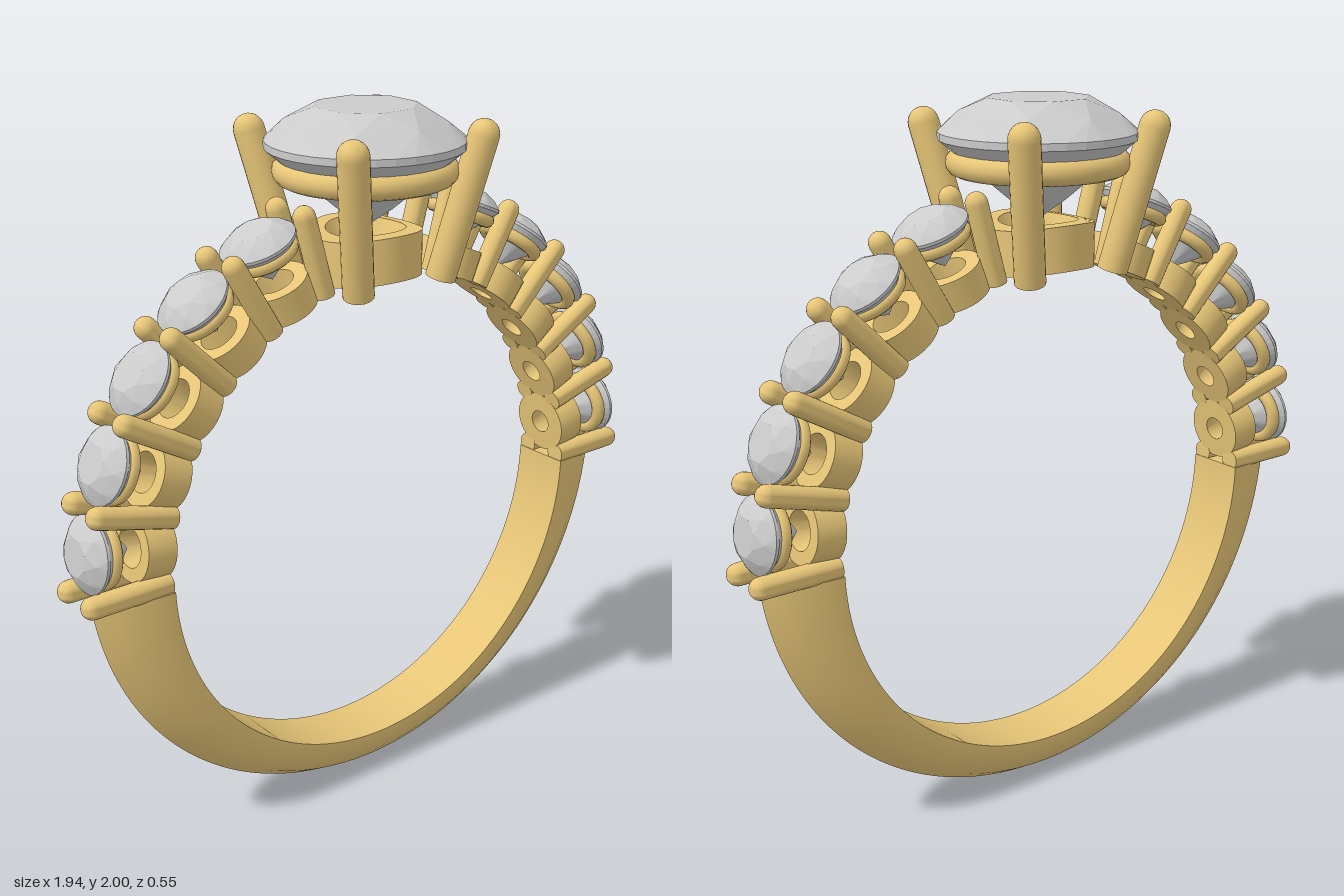
import * as THREE from 'three';
import { toCreasedNormals } from 'three/addons/utils/BufferGeometryUtils.js';
import { ConvexGeometry } from 'three/addons/geometries/ConvexGeometry.js';

const CY = 0.84; // height of the finger hole's centre
const RI = 0.71; // finger hole radius
const gold = new THREE.MeshStandardMaterial({ color: 0xe6c577 });
const gemMat = new THREE.MeshStandardMaterial({ color: 0xcccccc, flatShading: true });
const UP = new THREE.Vector3(0, 1, 0);

function add(parent, name, geometry, material = gold) {
  const mesh = new THREE.Mesh(geometry, material);
  mesh.name = name;
  parent.add(mesh);
  return mesh;
}

const lathe = (pts, seg) =>
  toCreasedNormals(new THREE.LatheGeometry(pts.map(([x, y]) => new THREE.Vector2(x, y)), seg), 0.7);

// Round bar with a flat foot and a domed tip, running from a to b
function prong(parent, name, a, b, r) {
  const h = a.distanceTo(b);
  const pts = [[0, 0], [r, 0]];
  for (let i = 0; i <= 6; i++) {
    const t = (i / 6) * Math.PI / 2;
    pts.push([r * Math.cos(t), h - r + r * Math.sin(t)]);
  }
  const mesh = add(parent, name, lathe(pts, 20));
  mesh.position.copy(a);
  mesh.quaternion.setFromUnitVectors(UP, b.clone().sub(a).normalize());
}

// Round brilliant: table, crown, girdle and pavilion, with the girdle at y = 0
function brilliant(r, crown, depth, girdle) {
  const pts = [];
  const ring = (n, radius, y, turn) => {
    for (let i = 0; i < n; i++) {
      const a = ((i + turn) / n) * Math.PI * 2;
      pts.push(new THREE.Vector3(radius * Math.cos(a), y, radius * Math.sin(a)));
    }
  };
  ring(8, r * 0.52, crown, 0.5);
  ring(8, r * 0.8, crown * 0.56, 0);
  ring(32, r, 0, 0);
  ring(32, r, -girdle, 0);
  ring(8, r * 0.3, -girdle - (depth - girdle) * 0.74, 0.5);
  pts.push(new THREE.Vector3(0, -depth, 0));
  return new ConvexGeometry(pts);
}

// Lower half of the band: a pointed arch section that thins toward the bottom
function shankGeometry() {
  const half = [[0.09, 0], [0.09, 0.1], [0.085, 0.3], [0.07, 0.55], [0.045, 0.78]];
  const section = [...half, [0, 1], ...half.map(([z, t]) => [-z, t]).reverse()];
  const n = section.length, steps = 96;
  const start = Math.PI + 0.025, end = Math.PI * 2 - 0.025;
  const pos = [], index = [];
  for (let i = 0; i <= steps; i++) {
    const a = start + ((end - start) * i) / steps;
    const c = Math.cos(a), s = Math.sin(a);
    const ro = 0.08 * s + Math.sqrt(0.92 ** 2 - (0.08 * c) ** 2);
    for (const [z, t] of section) {
      const r = RI + (ro - RI) * t;
      pos.push(r * c, CY + r * s, z);
    }
  }
  for (let i = 0; i < steps; i++) {
    for (let j = 0; j < n; j++) {
      const k = (j + 1) % n;
      const a = i * n + j, b = i * n + k, c = b + n, d = a + n;
      index.push(a, b, c, a, c, d);
    }
  }
  const last = steps * n;
  for (let j = 1; j < n - 1; j++) {
    index.push(0, j + 1, j, last, last + j, last + j + 1);
  }
  const g = new THREE.BufferGeometry();
  g.setAttribute('position', new THREE.Float32BufferAttribute(pos, 3));
  g.setIndex(index);
  return toCreasedNormals(g, 0.5);
}

export function createModel() {
  const ring = new THREE.Group();
  ring.name = 'ring';
  add(ring, 'shank', shankGeometry());

  // Shoulder settings: local y points away from the finger
  const collar = lathe([[0.035, 0.708], [0.094, 0.708], [0.094, 0.795], [0.055, 0.795], [0.035, 0.708]], 32);
  const gallery = new THREE.TorusGeometry(0.08, 0.02, 10, 32).rotateX(Math.PI / 2);
  const smallGem = brilliant(0.105, 0.037, 0.12, 0.008);
  const spoke = (name, angle) => {
    const g = new THREE.Group();
    g.name = name;
    g.position.y = CY;
    g.rotation.z = angle - Math.PI / 2;
    ring.add(g);
    return g;
  };
  const step = THREE.MathUtils.degToRad(14.9);
  for (const side of ['left', 'right']) {
    const angle = (a) => (side === 'left' ? a : Math.PI - a);
    for (let i = 0; i < 5; i++) {
      const seat = spoke(side + 'ShoulderSetting', angle((i + 0.5) * step));
      add(seat, 'collar', collar);
      add(seat, 'galleryRing', gallery).position.y = 0.885;
      add(seat, 'shoulderStone', smallGem, gemMat).position.y = 0.922;
    }
    for (let i = 0; i <= 5; i++) {
      const pair = spoke(side + 'ShoulderProngs', angle(i * step));
      for (const z of [-0.06, 0.06]) {
        prong(pair, 'shoulderProng', new THREE.Vector3(0, 0.712, z), new THREE.Vector3(0, 0.972, z), 0.031);
      }
    }
  }

  // Centre setting: base collar bent to follow the finger hole
  const base = lathe([[0.055, 1.55], [0.155, 1.55], [0.155, 1.675], [0.11, 1.675], [0.055, 1.55]], 48);
  const p = base.attributes.position;
  for (let i = 0; i < p.count; i++) {
    p.setY(i, p.getY(i) - RI + Math.sqrt(RI * RI - p.getX(i) ** 2));
  }
  add(ring, 'centreCollar', base);
  const rail = new THREE.TorusGeometry(0.218, 0.035, 14, 64).rotateX(Math.PI / 2);
  add(ring, 'centreGalleryRing', rail).position.y = 1.827;
  add(ring, 'centreStone', brilliant(0.273, 0.09, 0.24, 0.02), gemMat).position.y = 1.91;
  for (const x of [-1, 1]) {
    for (const z of [-1, 1]) {
      prong(ring, 'centreProng', new THREE.Vector3(0.143 * x, 1.535, 0.148 * z),
        new THREE.Vector3(0.228 * x, 1.968, 0.232 * z), 0.043);
    }
  }
  return ring;
}
